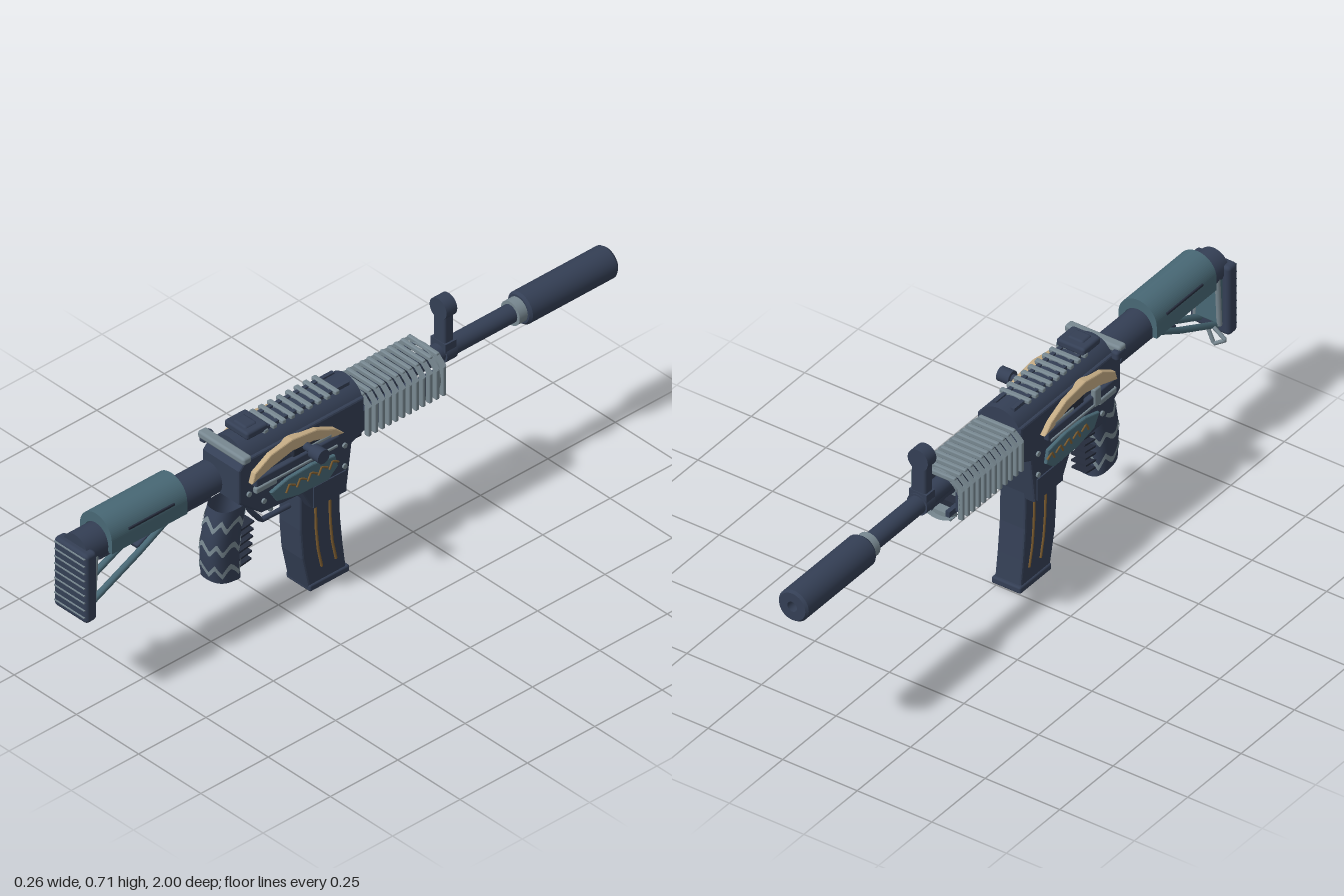
import * as THREE from 'three';
import { ParametricGeometry } from 'three/addons/geometries/ParametricGeometry.js';
import { RoundedBoxGeometry } from 'three/addons/geometries/RoundedBoxGeometry.js';

const mat = (name, color, side = THREE.FrontSide) => {
  const m = new THREE.MeshStandardMaterial({ color, side });
  m.name = name;
  return m;
};

export function createModel() {
  const model = new THREE.Group();
  const g = new THREE.Group(); // everything sits on a slightly offset centre plane
  g.name = 'body';
  g.position.x = -0.032;
  model.add(g);
  const navy = mat('navy', 0x343f55), dark = mat('darkNavy', 0x262d3d), teal = mat('teal', 0x486875);
  const grey = mat('blueGrey', 0x788891, THREE.DoubleSide), tan = mat('tan', 0xc4ab84), bronze = mat('bronze', 0x7d5d30);

  const add = (name, geo, m, x = 0, y = 0, z = 0) => {
    const mesh = new THREE.Mesh(geo, m);
    mesh.name = name;
    mesh.position.set(x, y, z);
    g.add(mesh);
    return mesh;
  };
  const box = (name, m, w, h, d, x, y, z) => add(name, new THREE.BoxGeometry(w, h, d), m, x, y, z);
  const round = (name, m, w, h, d, x, y, z, r = 0.008) => add(name, new RoundedBoxGeometry(w, h, d, 2, r), m, x, y, z);
  // cylinder along z between two depths
  const tube = (name, m, r, z0, z1, y, r2 = r) =>
    add(name, new THREE.CylinderGeometry(r2, r, Math.abs(z1 - z0), 28).rotateX(z1 > z0 ? Math.PI / 2 : -Math.PI / 2), m, 0, y, (z0 + z1) / 2);
  // profile of [z, y] points extruded across x
  const slab = (name, m, pts, width, x = 0, bevel = 0.006, smooth = false) => {
    const v = pts.map(p => new THREE.Vector2(...p));
    const shape = new THREE.Shape(smooth ? new THREE.SplineCurve([...v, v[0]]).getPoints(40).slice(0, -1) : v);
    const depth = width - 2 * bevel;
    const geo = new THREE.ExtrudeGeometry(shape, { depth, bevelEnabled: bevel > 0, bevelSize: bevel, bevelThickness: bevel, bevelOffset: -bevel, bevelSegments: 2 });
    return add(name, geo.translate(0, 0, -depth / 2).rotateY(-Math.PI / 2), m, x);
  };
  // round rod through [x, y, z] points
  const rod = (name, m, pts, r, seg = 20) => {
    const path = new THREE.CurvePath();
    for (let i = 1; i < pts.length; i++) path.add(new THREE.LineCurve3(new THREE.Vector3(...pts[i - 1]), new THREE.Vector3(...pts[i])));
    return add(name, new THREE.TubeGeometry(path, seg, r, 8), m);
  };

  // Barrel and muzzle tube
  tube('barrel', navy, 0.028, 0, -0.68, 0.527);
  tube('barrelCollar', navy, 0.034, -0.375, -0.415, 0.527);
  tube('muzzleCollar', grey, 0.038, -0.64, -0.672, 0.527);
  const muzzle = [[0, 0], [0.044, 0], [0.05, 0.008], [0.05, 0.322], [0.044, 0.33], [0.016, 0.33], [0.016, 0.3], [0, 0.3]]
    .map(p => new THREE.Vector2(...p));
  for (let i = 1; i < muzzle.length; i++)
    add('muzzleTube', new THREE.LatheGeometry([muzzle[i - 1], muzzle[i]], 32).rotateX(-Math.PI / 2), navy, 0, 0.527, -0.67);

  // Front post with round head
  round('frontPost', navy, 0.048, 0.14, 0.036, 0, 0.6, -0.392);
  tube('frontPostHead', navy, 0.034, -0.372, -0.412, 0.674);
  box('frontPostBase', navy, 0.06, 0.03, 0.04, 0, 0.552, -0.392);

  // Slatted handguard
  for (let i = 0; i < 12; i++) {
    const z = -0.04 - i * 0.0252;
    round('topSlat', grey, 0.12, 0.016, 0.013, 0, 0.576, z, 0.004);
    for (const s of [-1, 1]) {
      round('sideSlat', grey, 0.018, 0.1, 0.013, s * 0.078, 0.503, z, 0.004);
      const link = box('slatLink', grey, 0.038, 0.01, 0.013, s * 0.069, 0.562, z);
      link.rotation.z = -s * 0.75;
    }
    if (i % 2 === 0) box('bottomLug', i % 4 ? grey : dark, 0.07, 0.02, 0.03, 0, 0.432, z);
  }
  for (const s of [-1, 1]) {
    box('sideRail', navy, 0.014, 0.065, 0.33, s * 0.064, 0.503, -0.15);
    box('topRail', navy, 0.012, 0.014, 0.33, s * 0.035, 0.564, -0.15);
    box('bottomRail', navy, 0.014, 0.018, 0.33, s * 0.03, 0.448, -0.15);
  }
  add('handguardBand', new THREE.CylinderGeometry(0.078, 0.078, 0.02, 32, 1, true).rotateX(Math.PI / 2), grey, 0, 0.505, -0.315);

  // Receiver body with domed top
  slab('receiver', navy, [[0.41, 0.585], [0.435, 0.56], [0.435, 0.45], [0.35, 0.38], [0.2, 0.37], [0.165, 0.305], [0.035, 0.3],
    [0.015, 0.45], [-0.03, 0.47], [-0.03, 0.585]], 0.148);
  const dome = tube('receiverTop', navy, 0.07, 0.405, -0.03, 0.555);
  dome.scale.x = 1.02;
  for (let i = 0; i < 9; i++) round('topRib', grey, 0.1, 0.014, 0.016, 0, 0.623, 0.31 - i * 0.033, 0.004);
  for (const s of [-1, 1]) box('topRibRail', navy, 0.012, 0.016, 0.36, s * 0.03, 0.618, 0.17);
  round('rearSight', navy, 0.095, 0.025, 0.08, 0, 0.634, 0.34);
  round('rearSightBlock', navy, 0.055, 0.03, 0.045, 0, 0.636, 0.345);
  round('rearCrossBar', grey, 0.188, 0.024, 0.032, 0, 0.6, 0.42);
  round('crossBarEnd', navy, 0.024, 0.03, 0.04, -0.084, 0.587, 0.41);

  // Side panels and fittings, both sides
  for (const s of [-1, 1]) {
    slab('tanPanel', tan, [[0.4, 0.508], [0.39, 0.54], [0.33, 0.575], [0.25, 0.588], [0.16, 0.577], [0.09, 0.545], [0.058, 0.515],
      [0.1, 0.52], [0.17, 0.543], [0.25, 0.548], [0.33, 0.53]], 0.026, s * 0.077, 0.004);
    slab('tealPanel', teal, [[0.325, 0.44], [0.3, 0.4], [0.22, 0.382], [0.11, 0.38], [0.075, 0.41], [0.085, 0.45], [0.17, 0.462], [0.26, 0.458]],
      0.022, s * 0.073, 0.004);
    for (let i = 0; i < 5; i++) {
      const z = 0.27 - i * 0.04, x = s * 0.0845;
      rod('bronzeInlay', bronze, [[x, 0.415, z], [x, 0.438, z - 0.012], [x, 0.425, z - 0.034]], 0.0035, 8);
    }
    round('sideRunner', navy, 0.02, 0.03, 0.31, s * 0.08, 0.502, 0.23, 0.005);
    round('runnerStrip', grey, 0.006, 0.008, 0.27, s * 0.091, 0.487, 0.22, 0.002);
    round('portCover', dark, 0.016, 0.03, 0.13, s * 0.08, 0.537, 0.18, 0.004);
    round('portTrim', grey, 0.024, 0.012, 0.09, s * 0.079, 0.53, 0.15, 0.004);
    round('selector', grey, 0.016, 0.02, 0.08, s * 0.087, 0.482, 0.35, 0.005);
    for (const [y, z] of [[0.47, 0.4], [0.42, 0.345], [0.39, 0.045], [0.46, 0.045]])
      add('pin', new THREE.CylinderGeometry(0.008, 0.008, 0.016, 12).rotateZ(Math.PI / 2), grey, s * 0.072, y, z);
    box('wellRib', navy, 0.012, 0.07, 0.12, s * 0.072, 0.34, 0.1);
  }
  add('boltHandle', new THREE.CylinderGeometry(0.012, 0.012, 0.075, 16).rotateZ(Math.PI / 2), navy, 0.098, 0.541, 0.2);
  add('boltKnob', new THREE.CylinderGeometry(0.022, 0.022, 0.04, 20).rotateZ(Math.PI / 2), navy, 0.14, 0.541, 0.2);
  round('sideLever', grey, 0.016, 0.06, 0.03, -0.088, 0.51, 0.3, 0.005);

  // Curved magazine with bronze grooves
  slab('magazine', navy, [[0.18, 0.34], [0.18, 0.22], [0.172, 0.12], [0.148, 0.01], [0.008, 0.01], [0.02, 0.1], [0.03, 0.2], [0.033, 0.34]], 0.088);
  round('magazineBase', navy, 0.098, 0.022, 0.148, 0, 0.011, 0.074, 0.006);
  for (const s of [-1, 1]) for (const z of [0.125, 0.072])
    rod('magazineGroove', bronze, [[s * 0.044, 0.295, z], [s * 0.044, 0.2, z - 0.003], [s * 0.044, 0.13, z - 0.01], [s * 0.044, 0.065, z - 0.024]], 0.0045);

  // Pistol grip: v = 0 at top to 1 at bottom
  const gripPoint = (v, a, grow, target) => {
    const zc = 0.41 + 0.025 * v + 0.015 * Math.sin(v * Math.PI);
    const sq = p => Math.sign(p) * Math.pow(Math.abs(p), 0.75);
    target.set((0.044 + grow) * sq(Math.cos(a)), 0.41 - 0.235 * v - 0.014 * Math.sin(a) * -v, zc + (0.055 + grow) * sq(Math.sin(a)));
  };
  const strip = (name, m, fn, n, k) => add(name, new ParametricGeometry(fn, n, k), m);
  const navyTwoSided = mat('navyGrip', 0x343f55, THREE.DoubleSide);
  strip('grip', navyTwoSided, (u, v, t) => gripPoint(v, u * Math.PI * 2, 0, t), 40, 14);
  strip('gripBase', grey, (u, v, t) => { gripPoint(1, u * Math.PI * 2, 0, t); t.x *= v; t.z = 0.435 + (t.z - 0.435) * v; }, 40, 2);
  for (const base of [0.2, 0.52, 0.83]) // zigzag camouflage bands
    strip('gripBand', grey, (u, v, t) => {
      const k = (u * 7 + base * 3) % 1;
      gripPoint(base + 0.13 * (Math.abs(k - 0.5) * 2 - 0.5) + (v - 0.5) * 0.075, u * Math.PI * 2, 0.002, t);
    }, 56, 2);
  for (let i = 0; i < 6; i++) box('fingerRib', dark, 0.05, 0.006, 0.05, 0, 0.195 + i * 0.024, 0.368 - i * 0.002).rotation.x = 0.15;

  // Trigger and guard
  rod('triggerGuard', navy, [[0, 0.385, 0.355], [0, 0.33, 0.32], [0, 0.286, 0.285], [0, 0.284, 0.16]], 0.008);
  rod('trigger', grey, [[0, 0.38, 0.275], [0, 0.34, 0.262], [0, 0.305, 0.25]], 0.008);

  // Stock tube and cheek rest
  tube('stockTube', navy, 0.05, 0.475, 0.975, 0.525);
  round('stockTubeRail', navy, 0.05, 0.03, 0.42, 0, 0.482, 0.7);
  const cheek = new THREE.Shape();
  cheek.moveTo(0.064, 0.505);
  cheek.lineTo(0.064, 0.545);
  cheek.absarc(0, 0.545, 0.064, 0, Math.PI, false);
  cheek.lineTo(-0.064, 0.505);
  cheek.lineTo(-0.05, 0.505);
  cheek.absarc(0, 0.53, 0.048, Math.PI, 0, true);
  cheek.lineTo(0.05, 0.505);
  add('cheekRest', new THREE.ExtrudeGeometry(cheek, { depth: 0.28, bevelEnabled: false, curveSegments: 20 }), teal, 0, 0, 0.618);
  for (const s of [-1, 1]) round('cheekSlot', dark, 0.006, 0.008, 0.17, s * 0.063, 0.56, 0.75, 0.002);

  // Butt plate with horizontal ridges
  round('buttPlate', navy, 0.134, 0.23, 0.042, 0, 0.43, 0.974, 0.012);
  for (let i = 0; i < 9; i++) box('buttRidge', grey, 0.122, 0.0035, 0.008, 0, 0.337 + i * 0.0245, 0.994);
  round('buttFrame', teal, 0.09, 0.19, 0.02, 0, 0.45, 0.948, 0.006);

  // Stock struts and sling loop
  for (const s of [-1, 1]) {
    rod('diagonalStrut', teal, [[s * 0.03, 0.345, 0.95], [s * 0.03, 0.43, 0.77], [s * 0.03, 0.495, 0.65]], 0.01);
    rod('uprightStrut', grey, [[s * 0.04, 0.35, 0.945], [s * 0.04, 0.53, 0.935]], 0.008);
  }
  round('strutBrace', navy, 0.05, 0.02, 0.12, 0, 0.465, 0.71, 0.005).rotation.x = 0.45;
  rod('slingLoop', grey, [[-0.05, 0.37, 0.905], [-0.09, 0.343, 0.905], [-0.05, 0.315, 0.905], [-0.03, 0.36, 0.905]], 0.006);

  return model;
}
